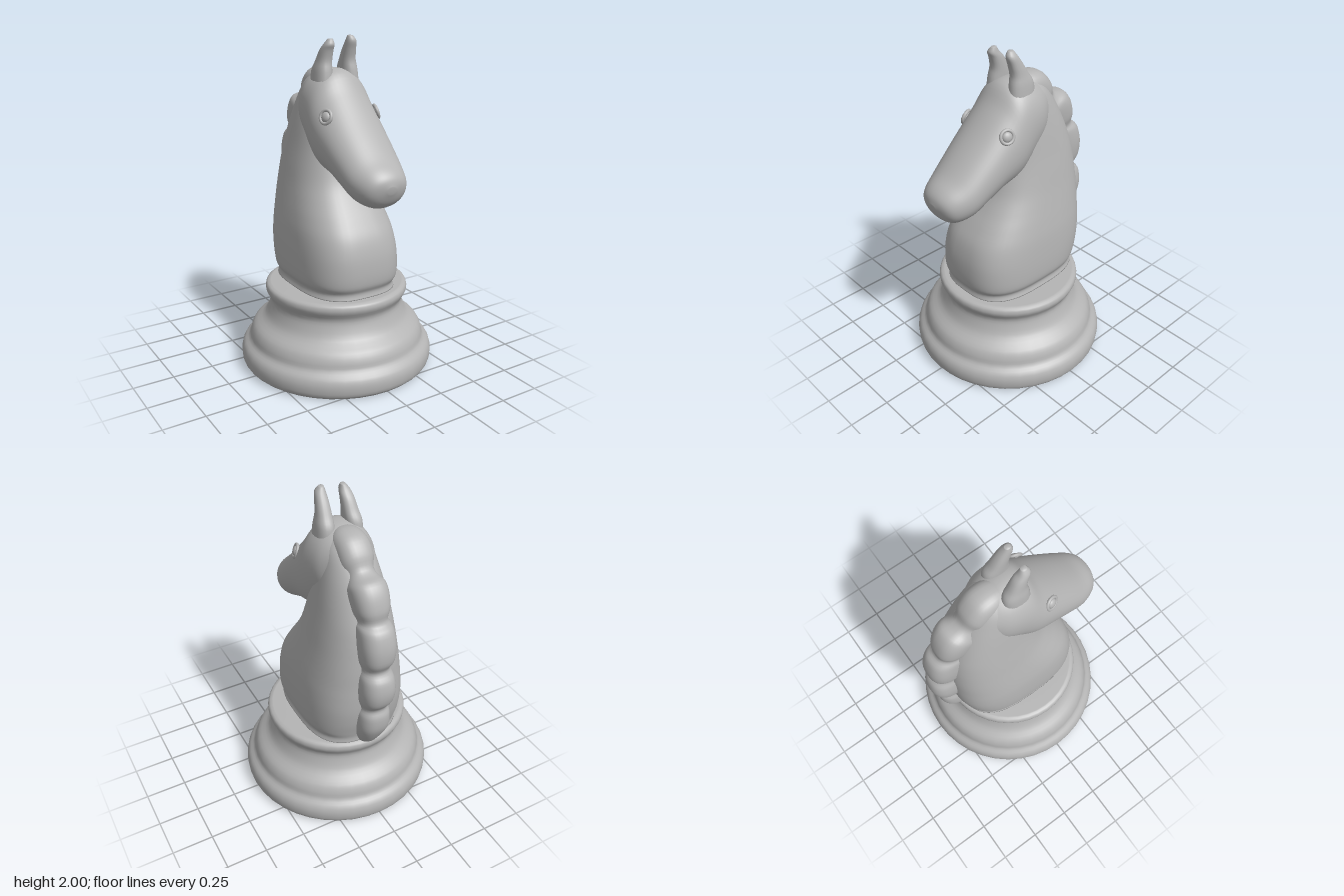
import * as THREE from 'three';

const grey = new THREE.MeshStandardMaterial({ color: 0xb4b4b4, side: THREE.DoubleSide });

// Uniform Catmull-Rom through rows of numbers
function smoothRows(rows, steps) {
  const out = [], last = rows.length - 1;
  for (let i = 0; i < last; i++) {
    const p = [Math.max(i - 1, 0), i, i + 1, Math.min(i + 2, last)].map((k) => rows[k]);
    for (let s = 0; s < steps; s++) {
      const t = s / steps;
      out.push(p[1].map((b, k) => {
        const a = p[0][k], c = p[2][k], d = p[3][k];
        return b + 0.5 * t * (c - a + t * (2 * a - 5 * b + 4 * c - d + t * (3 * (b - c) + d - a)));
      }));
    }
  }
  out.push(rows[last]);
  return out;
}

// Loft of superellipse sections; row = [z1, y1, z2, y2, halfWidth, exponent, centreX]
function loft(name, rows, steps = 5, sides = 48) {
  const pos = [], index = [];
  const sections = smoothRows(rows, steps);
  const bend = (v, n) => Math.sign(v) * Math.pow(Math.abs(v), 2 / n);
  for (const [z1, y1, z2, y2, w, n, cx] of sections) {
    for (let i = 0; i < sides; i++) {
      const t = (i / sides) * Math.PI * 2;
      const c = bend(Math.cos(t), n) / 2;
      pos.push(cx + w * bend(Math.sin(t), n), (y1 + y2) / 2 + (y1 - y2) * c, (z1 + z2) / 2 + (z1 - z2) * c);
    }
  }
  const count = sections.length;
  for (let r = 0; r < count - 1; r++) {
    for (let i = 0; i < sides; i++) {
      const a = r * sides + i, b = r * sides + ((i + 1) % sides);
      index.push(a, b, a + sides, b, b + sides, a + sides);
    }
  }
  // End caps
  [0, count - 1].forEach((r, end) => {
    const [z1, y1, z2, y2, , , cx] = sections[r];
    const centre = pos.length / 3;
    pos.push(cx, (y1 + y2) / 2, (z1 + z2) / 2);
    for (let i = 0; i < sides; i++) {
      const a = r * sides + i, b = r * sides + ((i + 1) % sides);
      if (end) index.push(a, b, centre);
      else index.push(b, a, centre);
    }
  });
  const geo = new THREE.BufferGeometry();
  geo.setAttribute('position', new THREE.Float32BufferAttribute(pos, 3));
  geo.setIndex(index);
  geo.computeVertexNormals();
  const mesh = new THREE.Mesh(geo, grey);
  mesh.name = name;
  return mesh;
}

export function createModel() {
  const group = new THREE.Group();
  group.name = 'chessKnight';

  // Turned base, hollow underneath
  const profile = smoothRows([
    [0.57, 0], [0.592, 0.025], [0.597, 0.08], [0.582, 0.125], [0.547, 0.16], [0.535, 0.205],
    [0.51, 0.25], [0.45, 0.3], [0.42, 0.36], [0.41, 0.415], [0.437, 0.47], [0.432, 0.508], [0.405, 0.52],
  ], 3).map(([r, y]) => new THREE.Vector2(r, y));
  profile.push(new THREE.Vector2(0.3, 0.52), new THREE.Vector2(0, 0.52));
  const base = new THREE.Mesh(new THREE.LatheGeometry(profile, 40), grey);
  base.name = 'base';
  group.add(base);

  // Neck: [y, front z, back z, half width, exponent]
  group.add(loft('neck', [
    [0.52, 0.37, -0.41, 0.295, 2.9], [0.555, 0.365, -0.41, 0.287, 2.9], [0.6, 0.385, -0.42, 0.306, 2.9],
    [0.68, 0.39, -0.44, 0.31, 2.9], [0.78, 0.38, -0.455, 0.306, 2.9], [0.88, 0.35, -0.46, 0.297, 2.8],
    [0.97, 0.295, -0.46, 0.282, 2.7], [1.06, 0.23, -0.46, 0.264, 2.6], [1.15, 0.175, -0.455, 0.246, 2.5],
    [1.25, 0.14, -0.445, 0.228, 2.4], [1.36, 0.11, -0.42, 0.207, 2.4], [1.5, 0.09, -0.37, 0.182, 2.3],
    [1.62, 0.05, -0.31, 0.157, 2.2], [1.72, 0.0, -0.24, 0.128, 2.2], [1.78, -0.03, -0.18, 0.08, 2.2],
  ].map(([y, f, b, w, n]) => [f, y, b, y, w, n, 0])));

  // Head, lofted from the nose tip back into the neck
  group.add(loft('head', [
    [0.574, 1.235, 0.566, 1.195, 0.025], [0.563, 1.28, 0.53, 1.13, 0.098], [0.53, 1.32, 0.475, 1.095, 0.143],
    [0.455, 1.375, 0.38, 1.105, 0.178], [0.35, 1.475, 0.28, 1.15, 0.194], [0.245, 1.58, 0.17, 1.195, 0.205],
    [0.14, 1.695, 0.03, 1.23, 0.212], [0.055, 1.8, -0.08, 1.31, 0.202], [-0.07, 1.812, -0.17, 1.4, 0.18],
    [-0.18, 1.77, -0.22, 1.5, 0.13],
  ].map(([z1, y1, z2, y2, w]) => [z1, y1, z2, y2, w, 2.1, 0])));

  // Mane: lobed outer line [z, y, half width], each section reaching into the neck
  group.add(loft('mane', [
    [-0.05, 1.8, 0.08], [-0.13, 1.817, 0.098], [-0.22, 1.8, 0.102], [-0.285, 1.735, 0.1], [-0.315, 1.665, 0.085],
    [-0.355, 1.637, 0.092], [-0.415, 1.622, 0.104], [-0.46, 1.565, 0.106], [-0.487, 1.48, 0.1], [-0.488, 1.41, 0.086],
    [-0.535, 1.365, 0.098], [-0.563, 1.27, 0.105], [-0.56, 1.175, 0.1], [-0.53, 1.105, 0.086],
    [-0.567, 1.05, 0.098], [-0.58, 0.97, 0.105], [-0.565, 0.89, 0.1], [-0.524, 0.825, 0.086],
    [-0.541, 0.77, 0.097], [-0.535, 0.68, 0.1], [-0.5, 0.6, 0.09], [-0.45, 0.52, 0.07],
  ].map(([z, y, w]) => {
    const dy = Math.min(y, 1.35) - y, len = Math.hypot(z, dy);
    return [z, y, z - (z / len) * 0.23, y + (dy / len) * 0.23, w, 2.5, 0];
  }), 4, 32));

  for (const side of [1, -1]) {
    const name = side > 0 ? 'left' : 'right';
    const top = side > 0 ? 2 : 1.985;

    // Upright ears: [y, front z, back z, half width, centre x]
    group.add(loft(name + 'Ear', [
      [1.7, 0.07, -0.1, 0.055, 0.09], [1.8, 0.06, -0.095, 0.05, 0.086], [1.86, 0.05, -0.06, 0.043, 0.08],
      [1.92, 0.062, -0.025, 0.037, 0.076], [top - 0.03, 0.076, 0.008, 0.029, 0.073],
      [top, 0.06, 0.028, 0.014, 0.066],
    ].map(([y, f, b, w, x]) => [f, y, b, y, w, 2.3, x * side]), 4, 20));

    // Eyeball and the low lid around it
    const eye = new THREE.Group();
    eye.name = name + 'Eye';
    const ball = new THREE.Mesh(new THREE.SphereGeometry(0.03, 20, 14), grey);
    ball.name = 'eyeball';
    ball.scale.z = 0.6;
    const lid = new THREE.Mesh(new THREE.TorusGeometry(0.038, 0.01, 10, 28), grey);
    lid.name = 'eyelid';
    eye.add(ball, lid);
    eye.position.set(side * 0.17, 1.57, 0.165);
    eye.lookAt(side * 1.17, 1.9, 0.5);
    group.add(eye);
  }
  return group;
}
